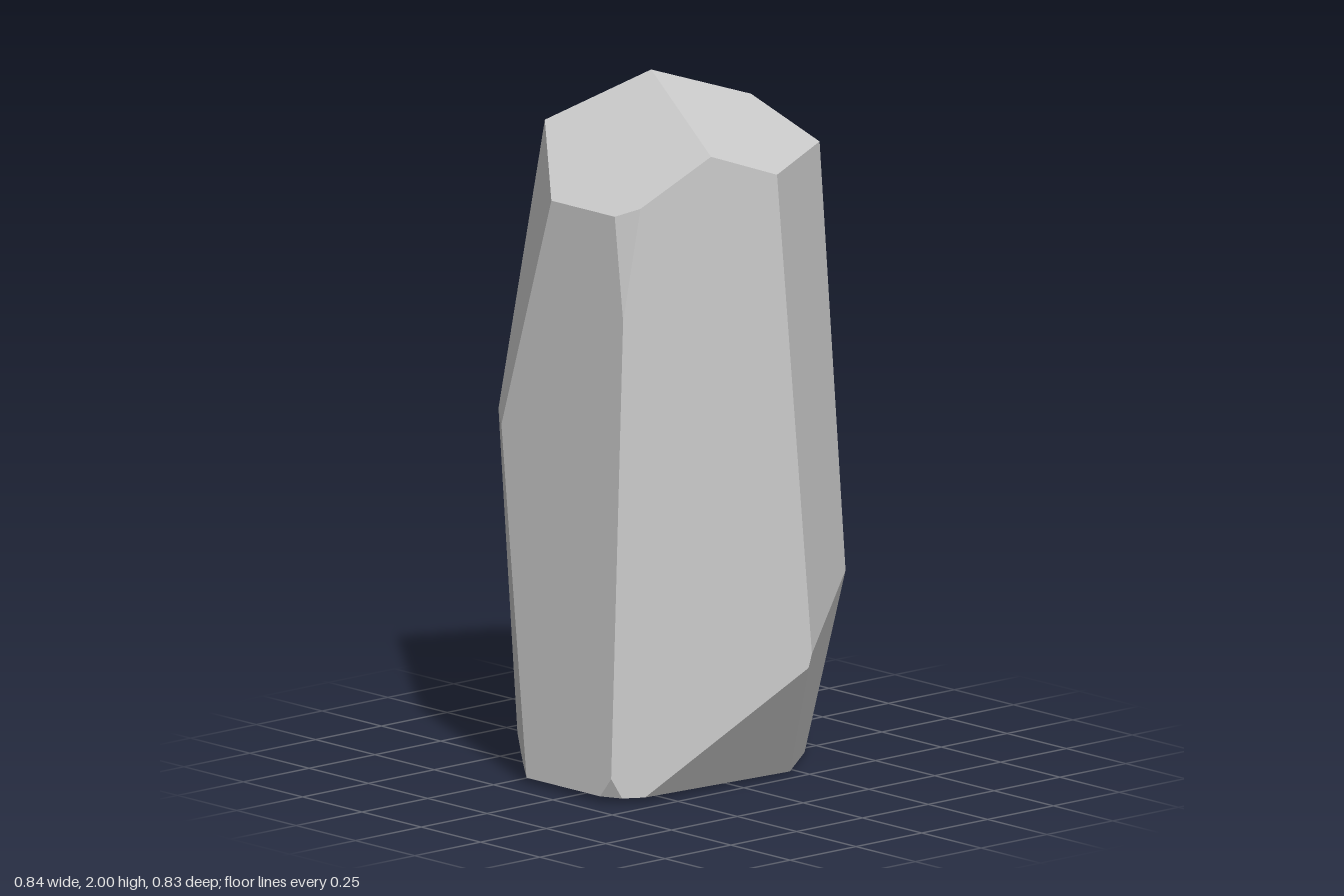
import * as THREE from 'three';

// height of the slightly tilted base plane
const base = (x, z) => [x, 0.0085 - 0.02 * x, z];

// corners of the faceted stone
const corners = {
  // crown
  apex: [0.04, 2, -0.185], b: [0.32, 1.905, -0.075], c: [0.355, 1.81, -0.105],
  d: [0.36, 1.803, 0.17], e: [0.018, 1.795, 0.37], f: [-0.157, 1.86, 0.286],
  g: [-0.345, 1.723, 0.197], h: [-0.384, 1.695, 0.132], i: [-0.384, 1.695, -0.135],
  j: [-0.17, 1.85, -0.4],
  // sides
  k: [-0.33, 1.035, -0.418], l: [-0.398, 1.015, -0.33], p: [-0.39, 1.4, 0.174],
  q: [0.373, 1.305, -0.386], r: [0.408, 0.3, -0.386], u: [0.4, 0.565, 0.235],
  v: [0.11, 0.4, 0.415], w: [0.1, 0.36, 0.412],
  // foot
  m: base(-0.42, -0.2), n: base(-0.42, 0.11), o: base(-0.39, 0.17), x: base(-0.33, 0.2),
  s: base(0.22, 0.2), t: base(0.42, 0.04), y: base(0.42, -0.15), z: base(0.18, -0.398),
  aa: base(-0.08, -0.405), bb: [-0.265, 0.085, -0.41], cc: base(-0.29, -0.36),
  dd: [-0.42, 0.075, 0.157],
};

// each facet as a ring of corners
const facets = [
  // crown facets
  'apex f e d b', 'apex j i h g f', 'apex b c q j', 'b d c', 'g h p',
  // long sides
  'e f g p dd o x w v', 'i l m n dd p h', 'j k l i', 'k bb cc m l',
  'j q r z aa bb k', 'c d u t y r q', 'd e v u',
  // lower bevels
  'u v w s t', 'w x s', 'r y z', 'aa cc bb', 'dd n o',
  // base
  's x o n m cc aa z y t',
];

function stoneGeometry() {
  const positions = [], normals = [];
  const middle = new THREE.Vector3(0, 0.95, 0);
  for (const facet of facets) {
    const ring = facet.split(' ').map((name) => new THREE.Vector3(...corners[name]));
    // averaged facet normal
    const normal = new THREE.Vector3();
    const cross = new THREE.Vector3();
    ring.forEach((a, n) => normal.add(cross.crossVectors(a, ring[(n + 1) % ring.length])));
    normal.normalize();
    // turn the ring so that it faces outwards
    if (normal.dot(ring[0].clone().sub(middle)) < 0) {
      normal.negate();
      ring.reverse();
    }
    for (let n = 1; n < ring.length - 1; n++) {
      for (const corner of [ring[0], ring[n], ring[n + 1]]) {
        positions.push(...corner.toArray());
        normals.push(...normal.toArray());
      }
    }
  }
  const geometry = new THREE.BufferGeometry();
  geometry.setAttribute('position', new THREE.Float32BufferAttribute(positions, 3));
  geometry.setAttribute('normal', new THREE.Float32BufferAttribute(normals, 3));
  return geometry;
}

export function createModel() {
  const model = new THREE.Group();
  model.name = 'standingStone';
  const stone = new THREE.Mesh(stoneGeometry(), new THREE.MeshStandardMaterial({ color: 0xcccccc }));
  stone.name = 'stone';
  model.add(stone);
  return model;
}
